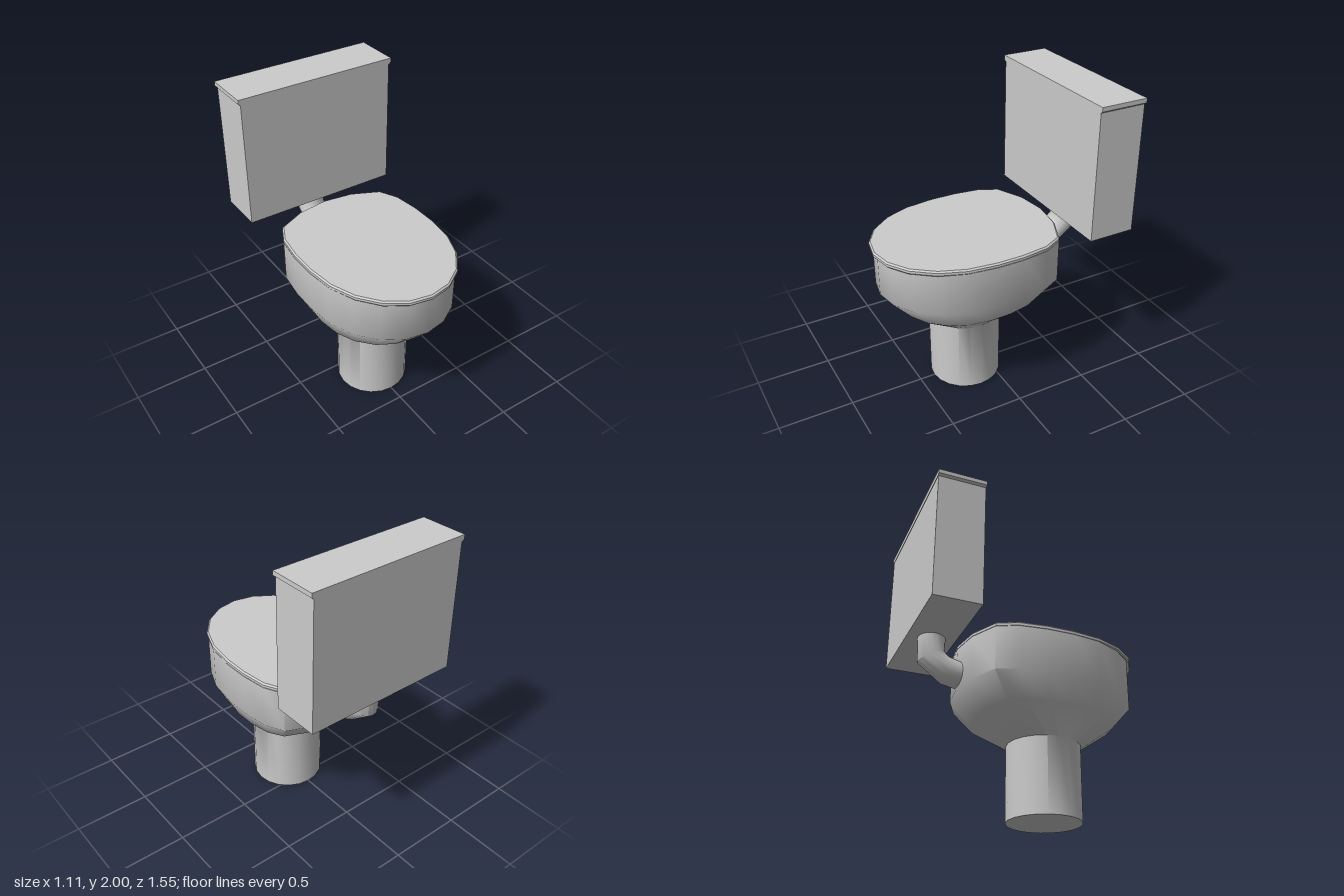
import * as THREE from 'three';
import { toCreasedNormals } from 'three/addons/utils/BufferGeometryUtils.js';

const material = new THREE.MeshStandardMaterial({ color: 0xcccccc });
const SIDES = 20;
const CENTRE_Z = 0.155;

// Right half of the seat outline, back to front, as [x, z]
const HALF = [
  [0, -0.44], [0.205, -0.412], [0.39, -0.327], [0.452, -0.2], [0.475, -0.02], [0.475, 0.16],
  [0.45, 0.355], [0.385, 0.522], [0.277, 0.66], [0.145, 0.744], [0, 0.772],
];
const OUTLINE = [...HALF, ...HALF.slice(1, -1).reverse().map(([x, z]) => [-x, z])];

function mesh(name, geometry) {
  const m = new THREE.Mesh(geometry, material);
  m.name = name;
  return m;
}

// Closed skin through a stack of equal-length rings, with flat end caps
function loft(rings, creaseAngle) {
  const position = [];
  const tri = (...points) => points.forEach((p) => position.push(p.x, p.y, p.z));
  const middle = (ring) => ring.reduce((s, p) => s.add(p), new THREE.Vector3()).divideScalar(ring.length);
  const n = rings[0].length;
  const first = rings[0];
  const last = rings[rings.length - 1];
  const low = middle(first);
  const high = middle(last);
  for (let i = 0; i < n; i++) {
    const j = (i + 1) % n;
    for (let k = 0; k + 1 < rings.length; k++) {
      const a = rings[k];
      const b = rings[k + 1];
      tri(a[i], b[i], b[j]);
      tri(a[i], b[j], a[j]);
    }
    tri(low, first[i], first[j]);
    tri(high, last[j], last[i]);
  }
  const geometry = new THREE.BufferGeometry();
  geometry.setAttribute('position', new THREE.Float32BufferAttribute(position, 3));
  return toCreasedNormals(geometry, creaseAngle);
}

// Bowl ring: blends from the round pedestal (0) to the seat outline (1)
function bowlRing(y, mixX, mixZ) {
  return OUTLINE.map(([x, z], i) => {
    const t = (i / SIDES) * Math.PI * 2;
    const rimZ = z > 0.16 ? 0.16 + (z - 0.16) * 0.957 : z;
    return new THREE.Vector3(
      THREE.MathUtils.lerp(0.24 * Math.sin(t), x, mixX),
      y,
      THREE.MathUtils.lerp(CENTRE_Z - 0.24 * Math.cos(t), rimZ, mixZ),
    );
  });
}

// Seat lid ring, optionally shrunk towards the middle
function lidRing(y, inset) {
  return OUTLINE.map(([x, z]) => new THREE.Vector3(
    x * (1 - inset / 0.475), y, 0.166 + (z - 0.166) * (1 - inset / 0.606),
  ));
}

// Pipe ring spanning an inner and an outer [z, y] point of the bend
function pipeRing([iz, iy], [oz, oy]) {
  const ring = [];
  for (let i = 0; i < 16; i++) {
    const t = (i / 16) * Math.PI * 2;
    const s = (1 + Math.cos(t)) / 2;
    ring.push(new THREE.Vector3(0.092 * Math.sin(t), iy + (oy - iy) * s, iz + (oz - iz) * s));
  }
  return ring;
}

// Front-facing [x, y] half profile, mirrored and extruded through the tank depth
function tankPart(half, back, front) {
  const points = [...half, ...half.slice().reverse().map(([x, y]) => [-x, y])];
  const shape = new THREE.Shape(points.map(([x, y]) => new THREE.Vector2(x, y)));
  const geometry = new THREE.ExtrudeGeometry(shape, { depth: front - back, bevelEnabled: false });
  return geometry.translate(0, 0, back);
}

export function createModel() {
  const group = new THREE.Group();
  group.name = 'toilet';

  // Pedestal flaring into the bowl
  group.add(mesh('bowlAndPedestal', loft([
    bowlRing(0, 0, 0),
    bowlRing(0.49, 0, 0),
    bowlRing(0.64, 0.68, 0.62),
    bowlRing(0.79, 1, 1),
    bowlRing(1.075, 1, 1),
  ], 0.87)));

  // Lid with a thin bevelled top edge
  group.add(mesh('seatLid', loft([
    lidRing(1.07, 0.006),
    lidRing(1.078, 0),
    lidRing(1.095, 0),
    lidRing(1.105, 0.01),
  ], 0.6)));

  // Bent flush pipe from the bowl up to the tank
  group.add(mesh('flushPipe', loft([
    pipeRing([-0.38, 0.97], [-0.38, 0.795]),
    pipeRing([-0.51, 1.005], [-0.535, 0.825]),
    pipeRing([-0.53, 1.03], [-0.695, 0.945]),
    pipeRing([-0.525, 1.125], [-0.705, 1.125]),
  ], 0.87)));

  // Tank and its overhanging cover
  group.add(mesh('tank', tankPart([[0.54, 1.115], [0.54, 1.97]], -0.775, -0.463)));
  group.add(mesh('tankCover', tankPart([[0.54, 1.96], [0.555, 1.972], [0.555, 2]], -0.778, -0.46)));

  return group;
}
